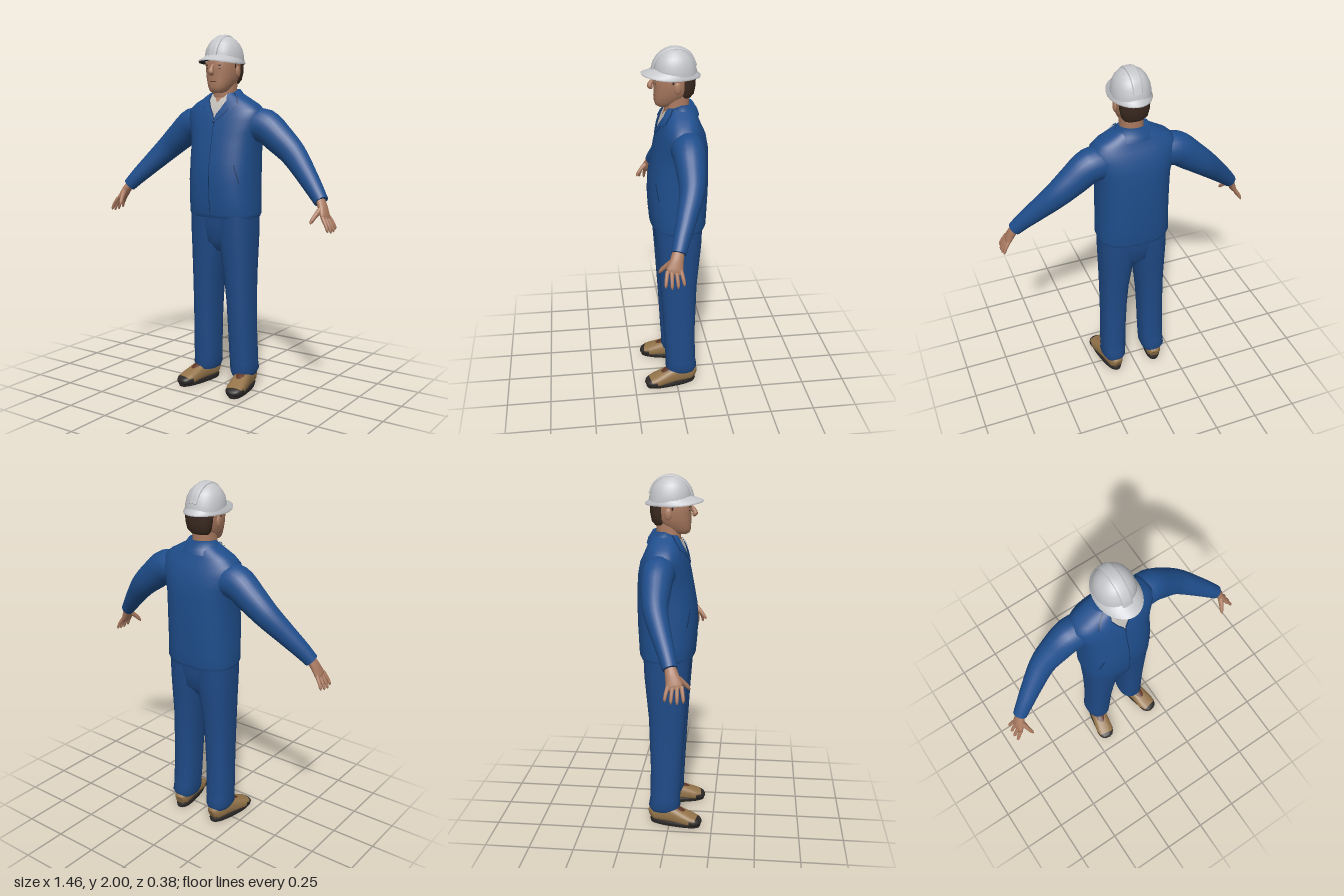
import * as THREE from 'three';

const mat = (name, color) => Object.assign(new THREE.MeshStandardMaterial({ color }), { name });

// Horizontal superellipse ring; x may be offset, front and back are given as z limits
function ring(y, rx, zf, zb, n = 2.3, cx = 0, a0 = 0, a1 = 360, count = 32) {
  const pts = [], open = a1 - a0 < 360;
  const pw = v => Math.sign(v) * Math.abs(v) ** (2 / n);
  for (let i = 0; i < count; i++) {
    const a = THREE.MathUtils.degToRad(a0 + (a1 - a0) * i / (open ? count - 1 : count));
    pts.push(new THREE.Vector3(cx + rx * pw(Math.cos(a)), y, (zf + zb) / 2 + (zf - zb) / 2 * pw(Math.sin(a))));
  }
  return pts;
}

// Skin over a list of rings, with optional flat caps
function loft(rings, { closed = true, caps = [true, true] } = {}) {
  const n = rings[0].length, pos = [], idx = [];
  rings.forEach(r => r.forEach(p => pos.push(p.x, p.y, p.z)));
  for (let i = 0; i < rings.length - 1; i++) {
    for (let j = 0; j < (closed ? n : n - 1); j++) {
      const k = (j + 1) % n, a = i * n + j, b = i * n + k;
      idx.push(a, a + n, b, a + n, b + n, b);
    }
  }
  [rings[0], rings[rings.length - 1]].forEach((r, e) => {
    if (!caps[e]) return;
    const c = r.reduce((s, p) => s.add(p), new THREE.Vector3()).divideScalar(n);
    const base = pos.length / 3;
    [...r, c].forEach(p => pos.push(p.x, p.y, p.z));
    for (let j = 0; j < n; j++) {
      const k = (j + 1) % n;
      idx.push(base + n, base + (e ? k : j), base + (e ? j : k));
    }
  });
  const g = new THREE.BufferGeometry();
  g.setAttribute('position', new THREE.Float32BufferAttribute(pos, 3));
  g.setIndex(idx);
  g.computeVertexNormals();
  return g;
}

// Limb along stations [x, y, z, radius along hint, other radius]
function limb(stations, hint, { steps = 4, n = 2, count = 16 } = {}) {
  const curve = new THREE.CatmullRomCurve3(stations.map(s => new THREE.Vector3(s[0], s[1], s[2])));
  const last = stations.length - 1, rings = [];
  const pw = v => Math.sign(v) * Math.abs(v) ** (2 / n);
  for (let i = 0; i <= last * steps; i++) {
    const t = i / (last * steps), k = Math.min(Math.floor(t * last), last - 1), f = t * last - k;
    const c = curve.getPoint(t), dir = curve.getTangent(t);
    const u = hint.clone().addScaledVector(dir, -hint.dot(dir)).normalize();
    const v = u.clone().cross(dir);
    const [ra, rb] = [3, 4].map(m => THREE.MathUtils.lerp(stations[k][m], stations[k + 1][m], f));
    rings.push(Array.from({ length: count }, (_, j) => {
      const a = j / count * Math.PI * 2;
      return c.clone().addScaledVector(u, ra * pw(Math.cos(a))).addScaledVector(v, rb * pw(Math.sin(a)));
    }));
  }
  return loft(rings);
}

// Jacket body: [y, half width, front z, back z]
const BODY = [[1.0, .2, .125, -.17], [1.02, .207, .135, -.178], [1.1, .203, .142, -.182], [1.2, .202, .147, -.187],
  [1.3, .202, .14, -.188], [1.4, .203, .122, -.186], [1.47, .215, .108, -.182], [1.54, .235, .092, -.168],
  [1.59, .232, .075, -.145], [1.625, .195, .06, -.13], [1.655, .14, .045, -.12], [1.685, .085, .03, -.105]];
const BODY_N = 2.5;

function chestZ(x, y) {
  const i = Math.max(0, Math.min(BODY.length - 2, BODY.findIndex(r => r[0] > y) < 0 ? BODY.length - 2 : BODY.findIndex(r => r[0] > y) - 1));
  const f = Math.min(1, (y - BODY[i][0]) / (BODY[i + 1][0] - BODY[i][0]));
  const [rx, zf, zb] = [1, 2, 3].map(m => THREE.MathUtils.lerp(BODY[i][m], BODY[i + 1][m], f));
  const q = Math.min(1, Math.abs(x) / rx);
  return (zf + zb) / 2 + (zf - zb) / 2 * (1 - q ** BODY_N) ** (1 / BODY_N);
}

// Cloth panel lying on the chest: rows [y, x0, x1] from bottom to top
function panel(rows, off, side = 1, grow = 0) {
  const rings = [];
  for (let i = 0; i < rows.length - 1; i++) {
    for (let s = i ? 1 : 0; s <= 4; s++) {
      const [y, a, b] = rows[i].map((v, m) => THREE.MathUtils.lerp(v, rows[i + 1][m], s / 4));
      const x0 = side > 0 ? a - grow : -b - grow, x1 = side > 0 ? b + grow : -a + grow;
      rings.push(Array.from({ length: 9 }, (_, j) => {
        const x = x0 + (x1 - x0) * (8 - j) / 8;
        return new THREE.Vector3(x, y, chestZ(x, y) + off);
      }));
    }
  }
  return loft(rings, { closed: false, caps: [false, false] });
}

export function createModel() {
  const model = new THREE.Group();
  model.name = 'worker';
  const jacket = mat('jacket blue', 0x1f4e8c), trousers = mat('trouser blue', 0x1f4a86), seam = mat('seam navy', 0x12305c);
  const shirt = mat('shirt white', 0xc4c0ba), skin = mat('skin', 0xab7b61), hair = mat('hair brown', 0x3b2a20);
  const shell = mat('helmet white', 0xc4c6ca), leather = mat('tan leather', 0x94744a);
  const rubber = mat('dark rubber', 0x2c2927), lace = mat('lace brown', 0x5e3526);
  const X = new THREE.Vector3(1, 0, 0), Z = new THREE.Vector3(0, 0, 1);
  const add = (name, geo, m, parent = model) => {
    const mesh = new THREE.Mesh(geo, m);
    mesh.name = name;
    parent.add(mesh);
    return mesh;
  };
  const ball = (name, m, p, s) => {
    const b = add(name, new THREE.SphereGeometry(1, 16, 12), m);
    b.position.set(...p);
    b.scale.set(...s);
  };

  // Jacket body, front closing, shirt and open throat
  add('jacketBody', loft(BODY.map(r => ring(...r, BODY_N, 0, 0, 360, 48))), jacket);
  add('frontClosing', panel([[1.01, -.002, .002], [1.3, -.002, .002], [1.54, -.002, .002]], .003), seam);
  add('shirtFront', panel([[1.55, -.004, .004], [1.6, -.04, .04], [1.66, -.075, .075], [1.68, -.075, .075]], .004), shirt);
  add('throat', panel([[1.635, -.003, .003], [1.682, -.036, .036]], .007), skin);
  ball('jacketButton', seam, [0, 1.53, chestZ(0, 1.53) + .006], [.007, .007, .004]);

  // Standing collar around the neck
  const collarRing = (y, rx, zf, zb) => {
    const r = ring(y, rx, zf, zb, 2, 0, 125, 415);
    r.forEach(p => { p.y -= Math.max(0, p.z + .03) * .45; });
    return r;
  };
  add('collar', loft([collarRing(1.637, .128, .05, -.137), collarRing(1.665, .108, .05, -.128),
    collarRing(1.705, .08, .045, -.103), collarRing(1.65, .07, .035, -.09)], { closed: false, caps: [false, false] }), jacket);

  const legRows = [[.08, .065, .185, .05, -.11], [.11, .055, .2, .062, -.122], [.16, .052, .196, .06, -.114], [.2, .05, .197, .064, -.113],
    [.35, .046, .192, .072, -.11], [.5, .04, .19, .08, -.115], [.65, .027, .19, .09, -.12],
    [.8, .004, .193, .1, -.135], [.9, -.01, .195, .108, -.145], [1.02, -.02, .195, .115, -.15]];
  const flap = [[1.6, .085, .1], [1.62, .07, .132], [1.66, .055, .105], [1.685, .055, .075]];
  const lapel = [[1.535, 0, .012], [1.57, .012, .055], [1.6, .034, .078], [1.64, .056, .08], [1.67, .065, .08]];

  for (const s of [1, -1]) {
    const side = s > 0 ? 'left' : 'right';
    const path = st => st.map(([x, ...r]) => [x * s, ...r]);

    // Collar flap and lapel with stitched edges, slanted pocket
    add(side + 'CollarFlapEdge', panel(flap, .009, s, .004), seam);
    add(side + 'CollarFlap', panel(flap, .013, s), jacket);
    add(side + 'LapelEdge', panel(lapel, .006, s, .004), seam);
    add(side + 'Lapel', panel(lapel, .01, s), jacket);
    add(side + 'Pocket', panel([[1.2, .163, .168], [1.3, .137, .142]], .003, s), seam);

    // Sleeve
    add(side + 'Sleeve', limb(path([[.15, 1.51, -.045, .09, .09], [.24, 1.505, -.05, .088, .095], [.33, 1.44, -.05, .078, .085],
      [.42, 1.365, -.042, .066, .073], [.525, 1.262, 0, .053, .058], [.6, 1.185, .035, .044, .047],
      [.647, 1.133, .056, .038, .039]]), Z, { count: 24 }), jacket);

    // Hand with four fingers and a thumb
    const hand = new THREE.Group();
    hand.name = side + 'Hand';
    model.add(hand);
    add('palm', limb(path([[.635, 1.15, .052, .028, .024], [.662, 1.105, .067, .034, .022],
      [.684, 1.06, .08, .043, .017], [.692, 1.045, .084, .038, .011]]), Z), skin, hand);
    [.9, 1.02, 1.05, .95].forEach((len, i) => {
      const z = .05 + i * .022, d = (i - 1.5) * .006;
      add('finger', limb(path([[.686, 1.06, z, .011, .011], [.686 + .026 * len, 1.06 - .04 * len, z + d, .0095, .0095],
        [.686 + .037 * len, 1.06 - .065 * len, z + d * 1.4, .008, .008], [.686 + .04 * len, 1.06 - .077 * len, z + d * 1.5, .003, .003]]),
      Z, { count: 10 }), skin, hand);
    });
    add('thumb', limb(path([[.664, 1.1, .085, .016, .018], [.65, 1.067, .122, .012, .013], [.64, 1.04, .145, .01, .01],
      [.636, 1.026, .153, .004, .004]]), X, { count: 10 }), skin, hand);

    // Trouser leg
    add(side + 'TrouserLeg', loft(legRows.map(([y, a, b, f, k]) => ring(y, (b - a) / 2, f, k, 2.4, s * (a + b) / 2))), trousers);

    // Shoe, toes turned out
    const shoe = new THREE.Group();
    shoe.name = side + 'Shoe';
    shoe.position.set(s * .149, 0, .035);
    shoe.rotation.y = s * .19;
    model.add(shoe);
    const box = { n: 2.6, count: 24 };
    add('sole', loft([ring(0, .046, .148, -.148, 2.5), ring(.018, .052, .153, -.152, 2.5), ring(.028, .048, .148, -.148, 2.5)]), rubber, shoe);
    add('upper', limb([[0, .05, -.15, .025, .03], [0, .058, -.13, .042, .046], [0, .064, -.08, .046, .054], [0, .062, -.02, .047, .052],
      [0, .05, .04, .051, .042], [0, .04, .09, .053, .033], [0, .034, .125, .046, .026]], X, box), leather, shoe);
    add('toeCap', limb([[0, .035, .095, .054, .028], [0, .031, .125, .048, .026], [0, .026, .145, .034, .019],
      [0, .023, .154, .015, .009]], X, box), rubber, shoe);
    add('laces', limb([[0, .105, -.02, .022, .01], [0, .096, .02, .026, .01], [0, .08, .055, .022, .008]], X), lace, shoe);

    // Ear, eye and eyebrow
    ball(side + 'Ear', skin, [s * .088, 1.8, -.012], [.009, .031, .02]);
    ball(side + 'Eye', hair, [s * .033, 1.816, .095], [.012, .005, .006]);
    ball(side + 'Eyebrow', hair, [s * .034, 1.835, .098], [.018, .004, .006]);
    ball(side + 'Sideburn', hair, [s * .079, 1.835, .01], [.008, .028, .012]);
  }

  // Trouser seat
  add('trouserSeat', loft([ring(.8, .03, .05, -.08), ring(.86, .11, .1, -.135), ring(.95, .188, .11, -.148),
    ring(1.03, .194, .115, -.15)]), trousers);

  // Head and neck
  add('neck', loft([ring(1.6, .07, .04, -.085), ring(1.66, .064, .05, -.085), ring(1.71, .062, .05, -.083), ring(1.78, .064, .05, -.09)]), skin);
  add('head', loft([ring(1.686, .03, .083, .03), ring(1.694, .046, .096, -.01), ring(1.715, .058, .104, -.04), ring(1.74, .07, .104, -.07),
    ring(1.77, .08, .105, -.092), ring(1.805, .085, .106, -.105), ring(1.84, .087, .11, -.11), ring(1.89, .084, .1, -.105)]), skin);
  add('nose', limb([[0, 1.838, .101, .008, .008], [0, 1.815, .117, .011, .013], [0, 1.796, .126, .017, .014], [0, 1.785, .112, .012, .01]], X), skin);
  ball('mouth', lace, [0, 1.746, .1], [.024, .004, .006]);
  add('hair', loft([ring(1.735, .055, -.02, -.092), ring(1.755, .07, -.02, -.108), ring(1.8, .08, -.015, -.117),
    ring(1.87, .084, 0, -.118)]), hair);

  // Helmet shell, brim, underside and raised ridges
  add('helmetShell', loft([[1.85, .104, .106, -.126], [1.88, .104, .107, -.123], [1.92, .097, .1, -.113], [1.95, .083, .084, -.096],
    [1.973, .064, .062, -.072], [1.987, .042, .038, -.046], [1.994, .018, .012, -.02]].map(r => ring(...r, 2.1))), shell);
  const brimRing = (y, rx, zf, zb, lift) => {
    const r = ring(y, rx, zf, zb, 2, 0, 0, 360, 40);
    r.forEach(p => { p.y += lift * Math.max(0, p.z / .17) ** 2; });
    return r;
  };
  add('helmetUnderside', loft([brimRing(1.853, .08, .1, -.1, .02), brimRing(1.841, .112, .17, -.143, .018)], { caps: [true, false] }), rubber);
  add('helmetBrim', loft([brimRing(1.841, .112, .17, -.143, .018), brimRing(1.85, .114, .171, -.145, .018),
    brimRing(1.862, .106, .135, -.13, .03), brimRing(1.885, .1, .1, -.117, .03)], { caps: [false, false] }), shell);
  add('helmetRidge', limb([[0, 1.88, .112, .026, .008], [0, 1.925, .097, .028, .009], [0, 1.965, .065, .029, .009], [0, 1.991, .01, .03, .009],
    [0, 1.985, -.045, .029, .009], [0, 1.955, -.09, .028, .009], [0, 1.9, -.118, .024, .007]], X, { n: 3 }), shell);
  return model;
}
